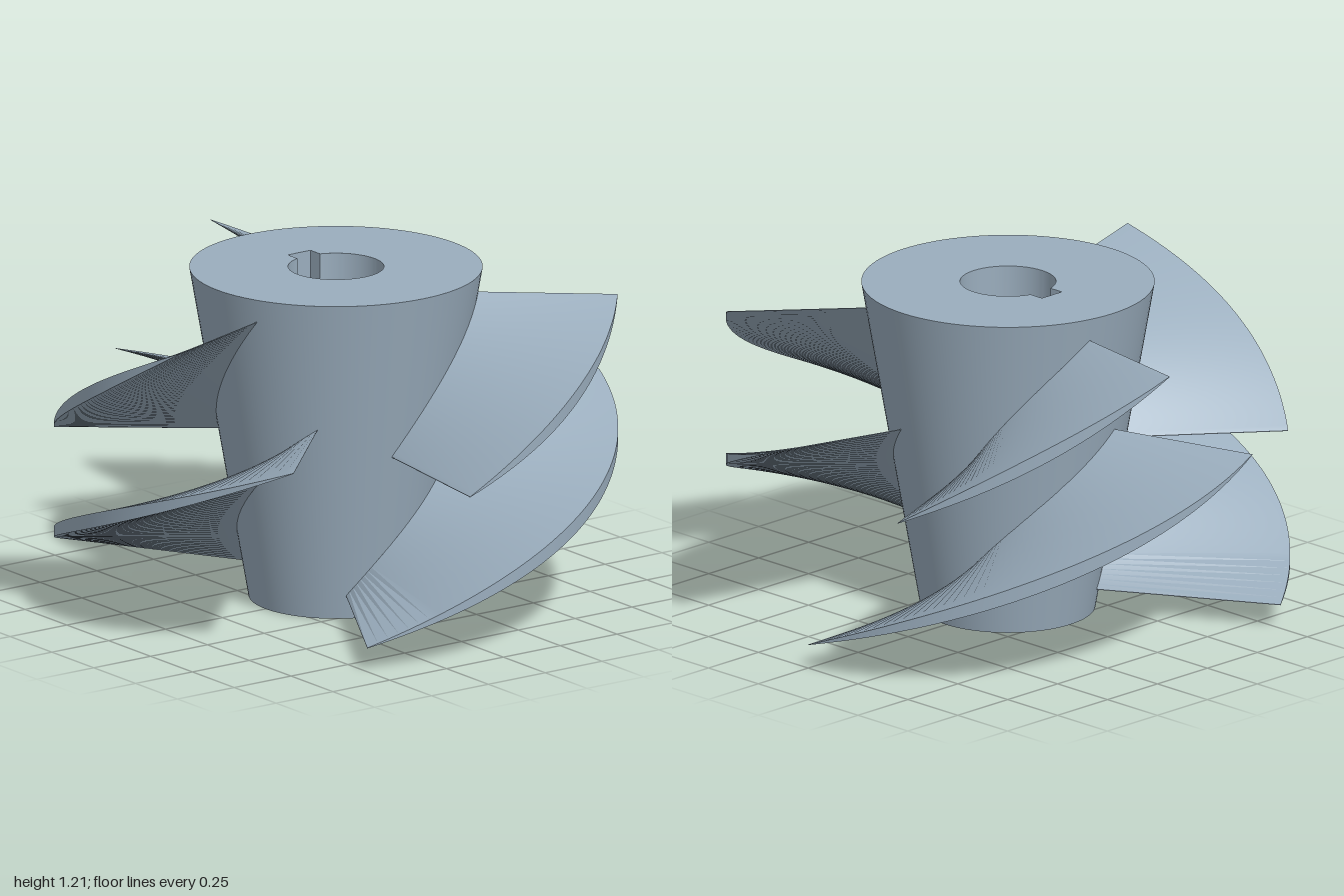
import * as THREE from 'three';
import { toCreasedNormals } from 'three/addons/utils/BufferGeometryUtils.js';

const HEIGHT = 1.21, R_BOTTOM = 0.31, R_TOP = 0.52, R_TIP = 1;
const hubRadius = (y) => R_BOTTOM + (R_TOP - R_BOTTOM) * y / HEIGHT;
const rad = THREE.MathUtils.degToRad;

// Conical hub with a round bore and a square keyway
function hubGeometry() {
  const shape = new THREE.Shape().absarc(0, 0, R_TOP, 0, Math.PI * 2);
  const bore = new THREE.Path();
  const r = 0.17, key = 0.05, a = Math.asin(key / r);
  bore.absarc(0, 0, r, Math.PI / 2 + a, Math.PI * 2.5 - a);
  bore.lineTo(key, 0.22);
  bore.lineTo(-key, 0.22);
  bore.closePath();
  shape.holes.push(bore);
  const geo = new THREE.ExtrudeGeometry(shape, { depth: HEIGHT, bevelEnabled: false, curveSegments: 48 });
  geo.rotateX(-Math.PI / 2);
  // Taper the outer wall only, leaving the bore straight
  const p = geo.attributes.position;
  for (let i = 0; i < p.count; i++) {
    if (Math.hypot(p.getX(i), p.getZ(i)) < 0.4) continue;
    const s = hubRadius(p.getY(i)) / R_TOP;
    p.setX(i, p.getX(i) * s);
    p.setZ(i, p.getZ(i) * s);
  }
  return toCreasedNormals(geo, rad(30));
}

// Helical blade, thickest mid-way and thinning to both ends
function bladeGeometry(start, end, yStart, yEnd, halfThickness) {
  const steps = 48, pos = [], index = [];
  for (let i = 0; i <= steps; i++) {
    const t = i / steps;
    const phi = rad(start + (end - start) * t);
    const y = yStart + (yEnd - yStart) * t;
    const h = 0.001 + halfThickness * Math.sin(Math.PI * t);
    const inner = hubRadius(y) - 0.03;
    for (const [r, dy] of [[inner, -h], [R_TIP, -h], [R_TIP, h], [inner, h]]) {
      pos.push(r * Math.cos(phi), y + dy, -r * Math.sin(phi));
    }
  }
  for (let i = 0; i < steps; i++) {
    for (let k = 0; k < 4; k++) {
      const a = i * 4 + k, b = i * 4 + (k + 1) % 4;
      index.push(a, a + 4, b + 4, a, b + 4, b);
    }
  }
  const e = steps * 4;
  index.push(0, 1, 2, 0, 2, 3, e, e + 2, e + 1, e, e + 3, e + 2);
  const geo = new THREE.BufferGeometry();
  geo.setAttribute('position', new THREE.Float32BufferAttribute(pos, 3));
  geo.setIndex(index);
  return toCreasedNormals(geo, rad(30));
}

export function createModel() {
  const model = new THREE.Group();
  model.name = 'impeller';
  const steel = new THREE.MeshStandardMaterial({ color: 0x9aadbd });
  steel.name = 'blueGreySteel';

  const add = (name, geo) => {
    const mesh = new THREE.Mesh(geo, steel);
    mesh.name = name;
    model.add(mesh);
    return mesh;
  };

  add('hub', hubGeometry());

  // Three long lower blades and three short upper blades
  const lower = bladeGeometry(0, 105, 0.087, 0.729, 0.026);
  const upper = bladeGeometry(22, 80, 0.611, 1.125, 0.024);
  for (let i = 0; i < 3; i++) {
    add('lowerBlade' + (i + 1), lower).rotation.y = i * Math.PI * 2 / 3;
    add('upperBlade' + (i + 1), upper).rotation.y = i * Math.PI * 2 / 3;
  }
  return model;
}
